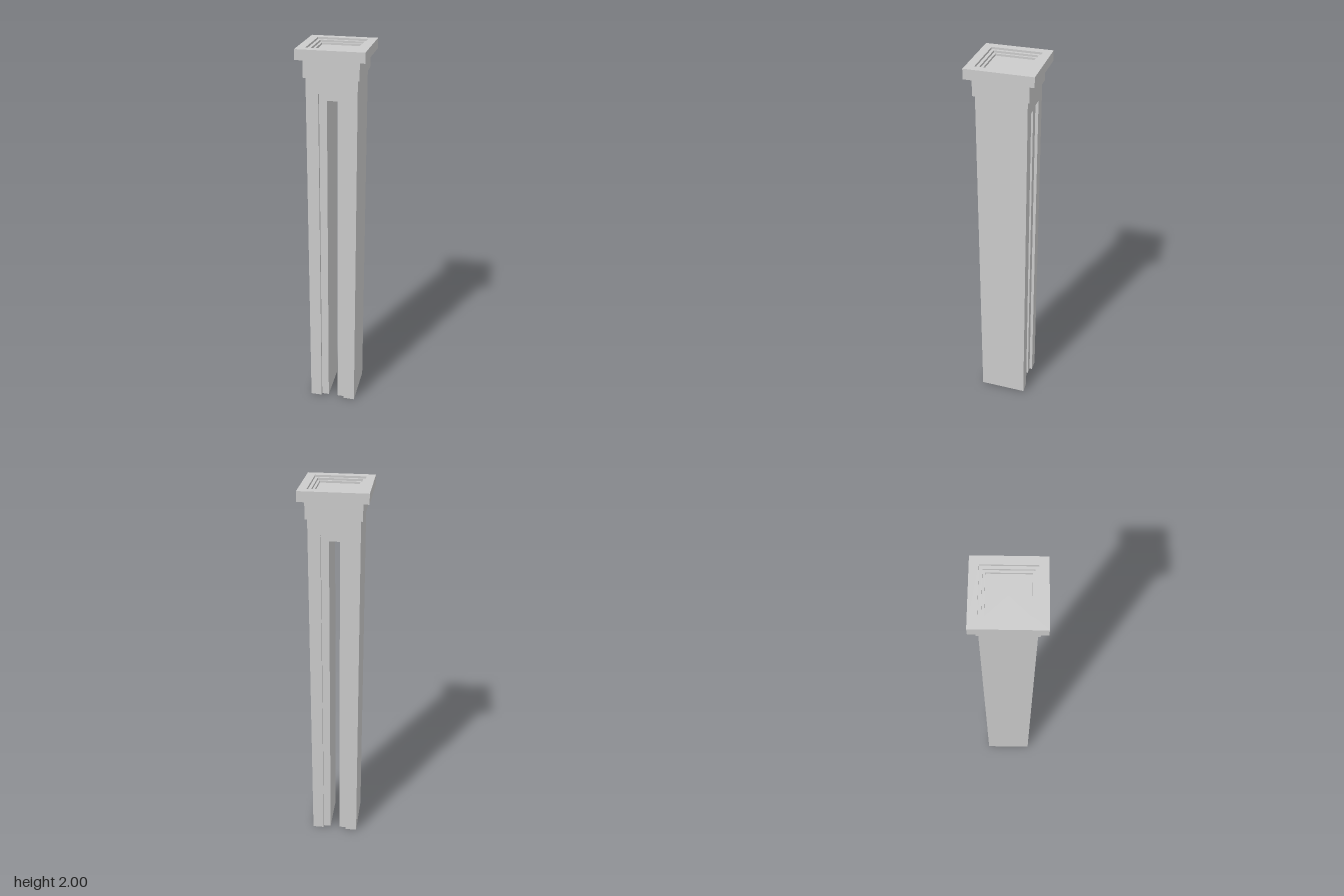
import * as THREE from 'three';

const SHAFT = 0.252;   // shaft width and depth
const SHAFT_TOP = 1.86;
const PANEL = 0.015;   // depth of the recess around the slot

export function createModel() {
  const model = new THREE.Group();
  model.name = 'pillar';
  const material = new THREE.MeshStandardMaterial({ color: 0xcccccc, flatShading: true });

  const add = (name, geometry) => {
    const mesh = new THREE.Mesh(geometry, material);
    mesh.name = name;
    model.add(mesh);
  };

  // Slab of the shaft with an opening that runs down to the ground
  const slab = (openWidth, openTop, z0, z1) => {
    const h = SHAFT / 2, w = openWidth / 2;
    const outline = [
      [-h, 0], [-w, 0], [-w, openTop], [w, openTop],
      [w, 0], [h, 0], [h, SHAFT_TOP], [-h, SHAFT_TOP],
    ].map(([x, y]) => new THREE.Vector2(x, y));
    return new THREE.ExtrudeGeometry(new THREE.Shape(outline), { depth: z1 - z0, bevelEnabled: false })
      .translate(0, 0, z0);
  };

  // Square moulding from a profile of [full width, height]
  const squareTurned = (profile) => new THREE.LatheGeometry(
    profile.map(([w, y]) => new THREE.Vector2((w / 2) * Math.SQRT2, y)), 4, Math.PI / 4);

  // Shaft: narrow slot through the core, wider recess on front and back
  const face = SHAFT / 2, inner = face - PANEL;
  add('shaftCore', slab(0.052, 1.75, -inner, inner));
  add('frontPanelFrame', slab(0.13, 1.785, inner, face));
  add('backPanelFrame', slab(0.13, 1.785, -face, -inner));

  // Neck block under the cap
  add('neck', squareTurned([[0, 1.86], [0.272, 1.86], [0.272, 1.95], [0, 1.95]]));

  // Cap slab with a stepped sunken top
  add('cap', squareTurned([
    [0, 1.95], [0.334, 1.95], [0.334, 2], [0.25, 2], [0.25, 1.99],
    [0.22, 1.99], [0.22, 1.98], [0.197, 1.98], [0.197, 1.97], [0, 1.97],
  ]));

  // The whole pillar stands slightly turned
  model.rotation.y = 0.072;
  return model;
}
